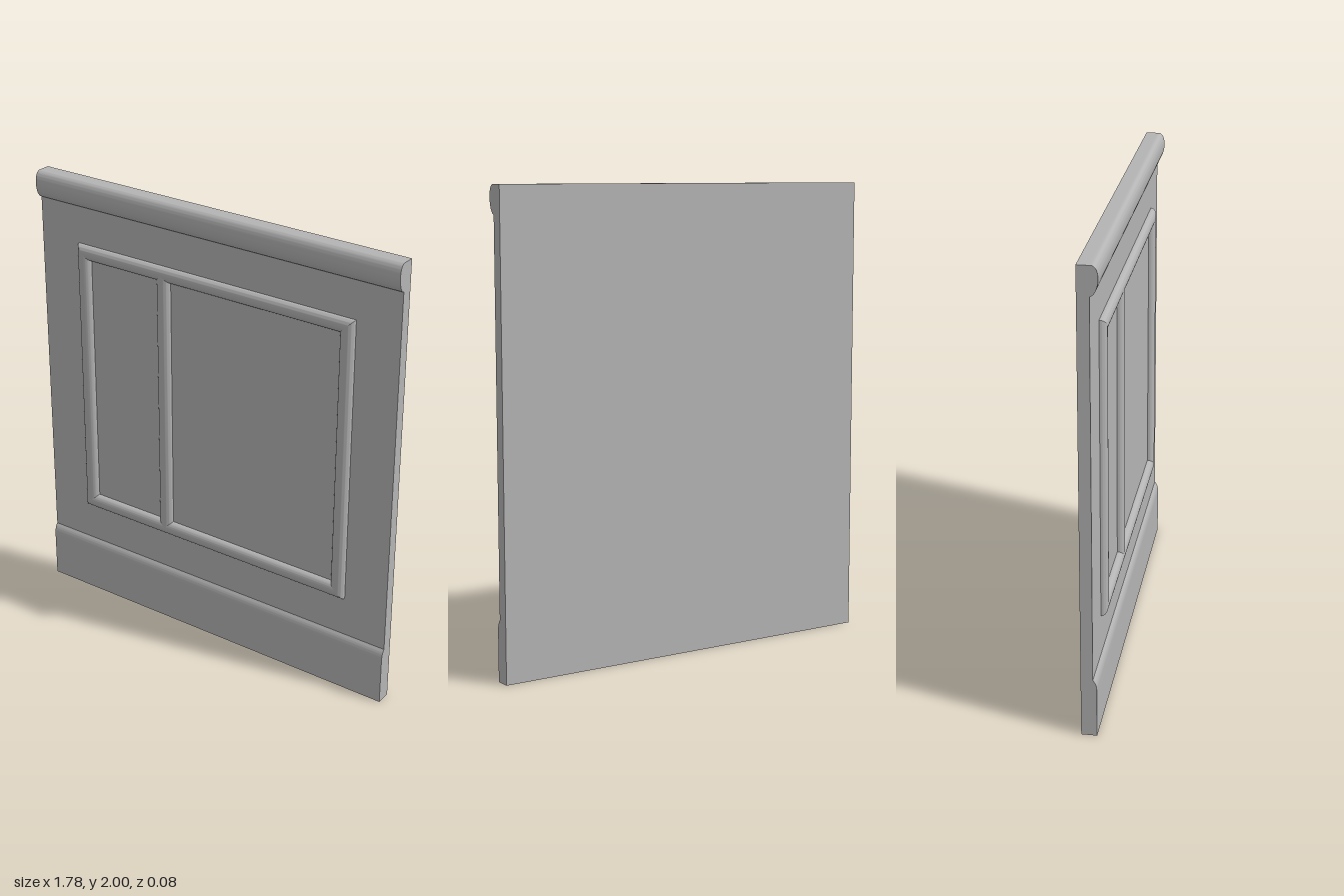
import * as THREE from 'three';
import { toCreasedNormals } from 'three/addons/utils/BufferGeometryUtils.js';

const WIDTH = 1.776, HEIGHT = 2, BACK = -0.04, FACE = 0.009;
const BEAD = 0.065; // width of the frame moulding

// Extrudes a profile (u = height, v = depth) along x, centred; mitre slants both ends inward
function moulding(name, shape, length, material, mitre = 0) {
  const raw = new THREE.ExtrudeGeometry(shape, { depth: length, bevelEnabled: false, curveSegments: 10 });
  const p = raw.attributes.position;
  for (let i = 0; i < p.count; i++) {
    const z = p.getZ(i), slant = p.getX(i) * mitre;
    p.setZ(i, (z > length / 2 ? z - slant : z + slant) - length / 2);
  }
  raw.applyMatrix4(new THREE.Matrix4().makeBasis(
    new THREE.Vector3(0, 1, 0), new THREE.Vector3(0, 0, 1), new THREE.Vector3(1, 0, 0)));
  const mesh = new THREE.Mesh(toCreasedNormals(raw, 0.6), material);
  mesh.name = name;
  return mesh;
}

function railProfile() {
  const s = new THREE.Shape();
  s.moveTo(1.88, FACE);
  s.lineTo(2, FACE);
  s.lineTo(2, 0.018);
  s.bezierCurveTo(1.995, 0.034, 1.975, 0.041, 1.95, 0.041);
  s.bezierCurveTo(1.92, 0.041, 1.885, 0.03, 1.88, FACE);
  return s;
}

function skirtingProfile() {
  const s = new THREE.Shape();
  s.moveTo(0, FACE);
  s.lineTo(0.26, FACE);
  s.bezierCurveTo(0.25, 0.017, 0.24, 0.025, 0.21, 0.025);
  s.lineTo(0, 0.025);
  return s;
}

function beadProfile() {
  const s = new THREE.Shape();
  s.moveTo(0, FACE);
  s.lineTo(BEAD, FACE);
  s.lineTo(BEAD, 0.014);
  s.bezierCurveTo(BEAD - 0.003, 0.028, BEAD - 0.014, 0.036, BEAD / 2, 0.036);
  s.bezierCurveTo(0.014, 0.036, 0.003, 0.028, 0, 0.014);
  return s;
}

export function createModel() {
  const model = new THREE.Group();
  model.name = 'wallPanel';
  const paint = new THREE.MeshStandardMaterial({ color: 0xb4b4b4 });
  paint.name = 'greyPaint';

  // Flat backing board
  const board = new THREE.Mesh(new THREE.BoxGeometry(WIDTH, HEIGHT, FACE - BACK), paint);
  board.name = 'backBoard';
  board.position.set(0, HEIGHT / 2, (FACE + BACK) / 2);
  model.add(board);

  // Top rail and skirting run the full width
  model.add(moulding('topRail', railProfile(), WIDTH, paint));
  model.add(moulding('skirting', skirtingProfile(), WIDTH, paint));

  // Mitred rectangular frame
  const frame = new THREE.Group();
  frame.name = 'frame';
  frame.position.y = 1.076;
  const w = 1.376, h = 1.276;
  ['frameBottom', 'frameRight', 'frameTop', 'frameLeft'].forEach((name, i) => {
    const [length, reach] = i % 2 ? [h, w] : [w, h];
    const side = moulding(name, beadProfile(), length, paint, 1);
    side.geometry.translate(0, -reach / 2, 0);
    side.rotation.z = -i * Math.PI / 2;
    frame.add(side);
  });
  // Upright divider, butted into the frame
  const divider = moulding('divider', beadProfile(), h - BEAD, paint);
  divider.geometry.translate(0, -BEAD / 2, 0);
  divider.rotation.z = Math.PI / 2;
  divider.position.x = -0.237;
  frame.add(divider);
  model.add(frame);
  return model;
}
